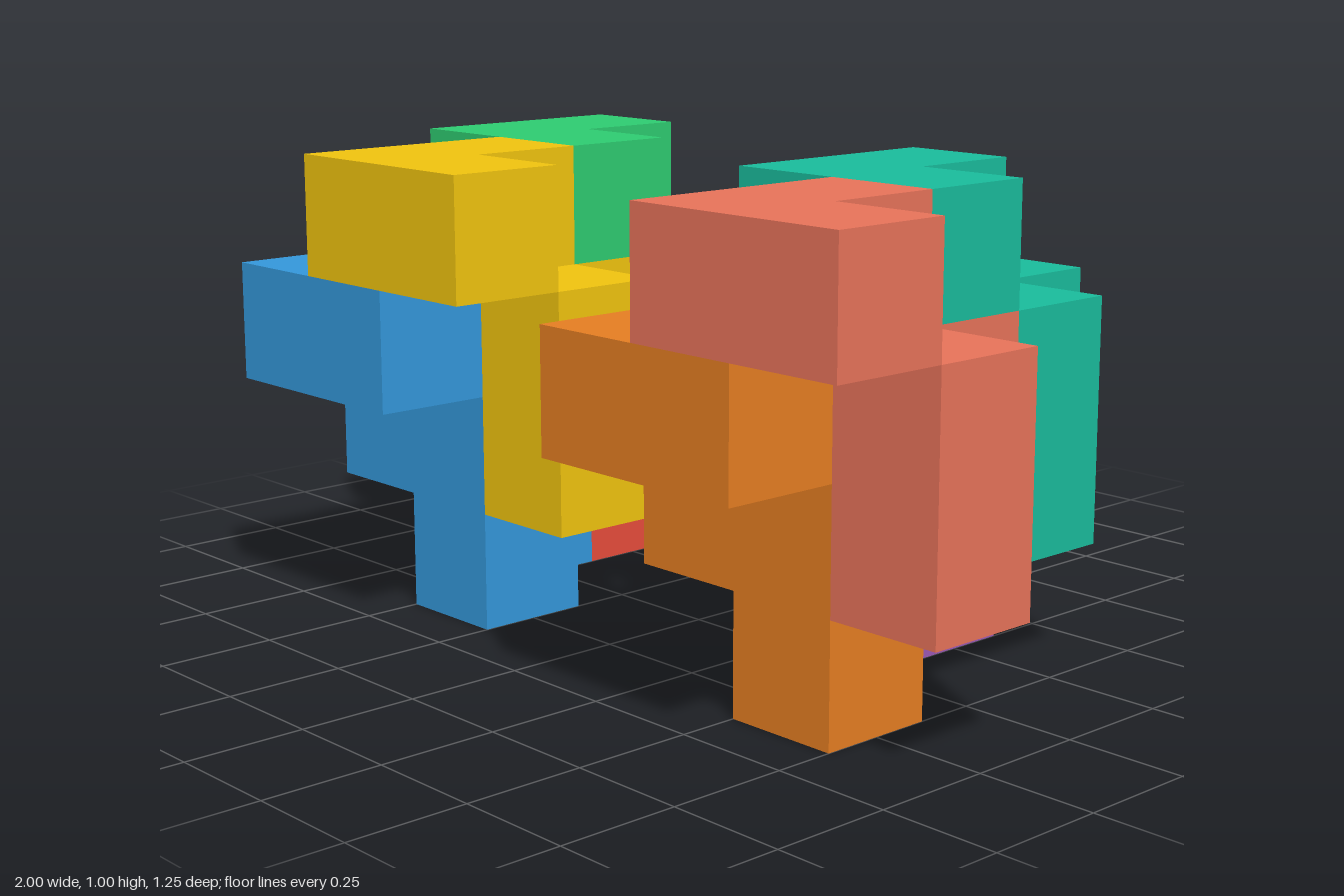
import * as THREE from 'three';
import { mergeGeometries } from 'three/addons/utils/BufferGeometryUtils.js';

const U = 0.25; // edge of one cube cell

// Cells [x, y, z] of the interlocking eight-cube piece
const CELLS = [
  [0, 0, 0], [1, 0, 1],
  [0, 1, 0], [0, 1, 1], [1, 1, 1],
  [0, 2, 1], [0, 2, 2], [1, 2, 2],
];

// Outward directions with the rotation that turns a +z plane towards them
const SIDES = [
  { dir: [0, 0, 1], rot: [0, 0] },
  { dir: [0, 0, -1], rot: [0, Math.PI] },
  { dir: [1, 0, 0], rot: [0, Math.PI / 2] },
  { dir: [-1, 0, 0], rot: [0, -Math.PI / 2] },
  { dir: [0, 1, 0], rot: [-Math.PI / 2, 0] },
  { dir: [0, -1, 0], rot: [Math.PI / 2, 0] },
];

// Outer skin of the piece: only faces without a neighbouring cell
function pieceGeometry() {
  const filled = new Set(CELLS.map(String));
  const faces = [];
  for (const cell of CELLS) {
    for (const { dir, rot } of SIDES) {
      if (filled.has(String(cell.map((c, i) => c + dir[i])))) continue;
      const centre = cell.map((c, i) => (c + 0.5 + dir[i] / 2) * U);
      faces.push(new THREE.PlaneGeometry(U, U)
        .rotateX(rot[0]).rotateY(rot[1]).translate(...centre));
    }
  }
  return mergeGeometries(faces);
}

export function createModel() {
  const group = new THREE.Group();
  group.name = 'interlockingBlocks';
  const geometry = pieceGeometry();

  // Each piece is the same block, shifted by whole cells
  const pieces = [
    ['redPiece', 0xe74c3c, 0, 0, 0],
    ['greenPiece', 0x2ecc71, 1, 1, 0],
    ['bluePiece', 0x3498db, 1, 0, 2],
    ['yellowPiece', 0xf1c40f, 2, 1, 2],
    ['purplePiece', 0x9b59b6, 4, 0, 0],
    ['tealPiece', 0x1abc9c, 5, 1, 0],
    ['orangePiece', 0xe67e22, 5, 0, 2],
    ['salmonPiece', 0xe8735a, 6, 1, 2],
  ];
  for (const [name, color, x, y, z] of pieces) {
    const mesh = new THREE.Mesh(geometry, new THREE.MeshStandardMaterial({ color }));
    mesh.name = name;
    mesh.position.set(x * U - 1, y * U, z * U - 0.625);
    group.add(mesh);
  }
  return group;
}
